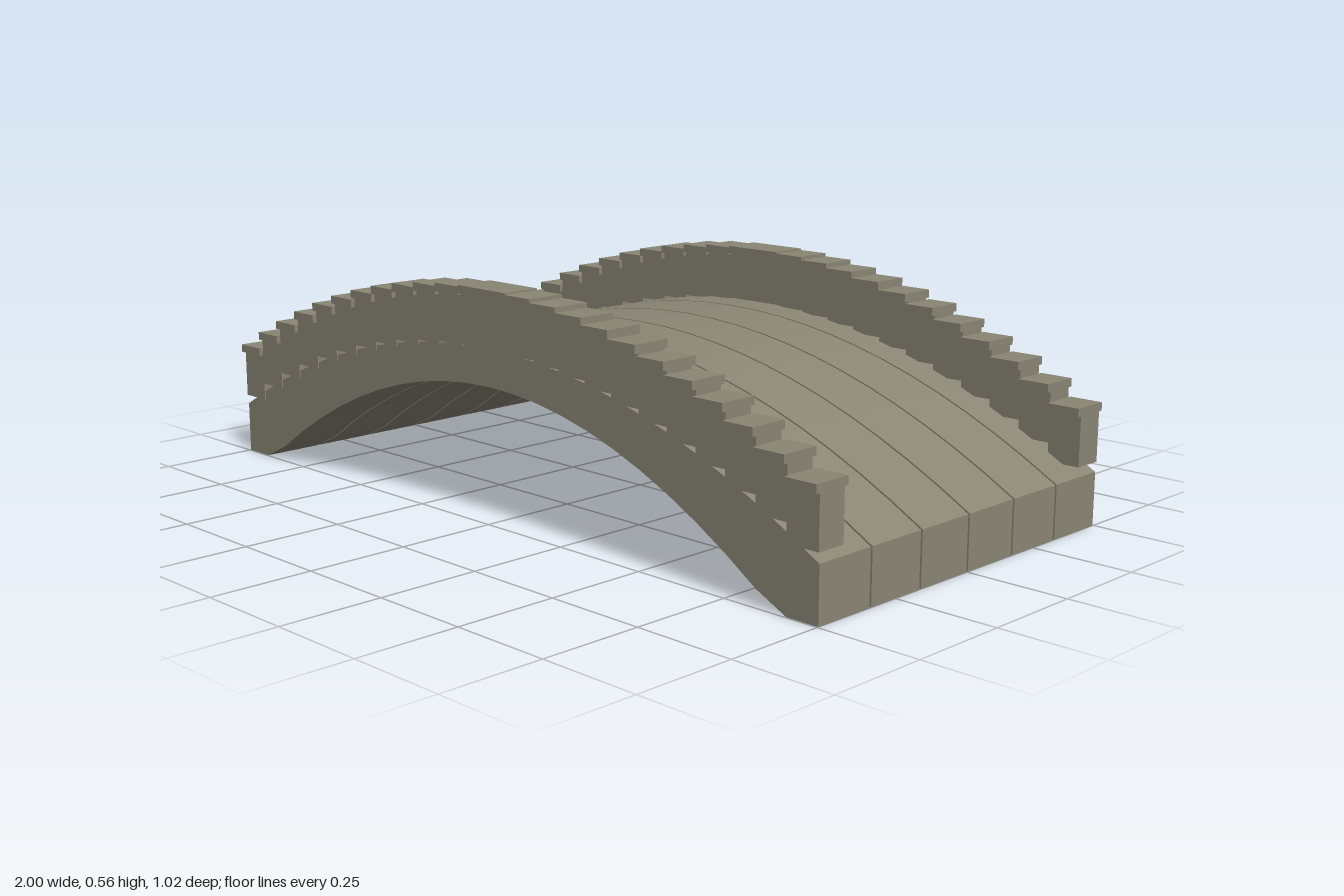
import * as THREE from 'three';

const SEGMENTS = 24, ROWS = 6;
const STEP = 2 / SEGMENTS, ROW_WIDTH = 1 / ROWS, GAP = 0.006;

// Arch curves: walking surface and underside
const deckY = (x) => 0.13 + 0.29 * (1 - x * x);
const underY = (x) => Math.max(0, 0.33 - 0.417 * x * x);

export function createModel() {
  const bridge = new THREE.Group();
  bridge.name = 'archBridge';
  const stone = new THREE.MeshStandardMaterial({ color: 0x8a8675 });
  stone.name = 'stone';

  const deck = new THREE.Group();
  deck.name = 'deck';
  const parapets = { 1: new THREE.Group(), '-1': new THREE.Group() };
  parapets[1].name = 'frontParapet';
  parapets[-1].name = 'backParapet';
  bridge.add(deck, parapets[1], parapets[-1]);

  const blockWidth = ROW_WIDTH - GAP;
  const postGeometry = new THREE.BoxGeometry(STEP, 0.12, 0.076);
  const capGeometry = new THREE.BoxGeometry(STEP, 0.02, 0.098);

  const add = (parent, geometry, name, x, y, z) => {
    const mesh = new THREE.Mesh(geometry, stone);
    mesh.name = name;
    mesh.position.set(x, y, z);
    parent.add(mesh);
  };

  for (let i = 0; i < SEGMENTS; i++) {
    const x0 = -1 + i * STEP, x1 = x0 + STEP;

    // Wedge-shaped arch stones, repeated across the width
    const section = new THREE.Shape([
      new THREE.Vector2(x0, underY(x0)),
      new THREE.Vector2(x1, underY(x1)),
      new THREE.Vector2(x1, deckY(x1)),
      new THREE.Vector2(x0, deckY(x0)),
    ]);
    const wedge = new THREE.ExtrudeGeometry(section, { depth: blockWidth, bevelEnabled: false });
    for (let r = 0; r < ROWS; r++) {
      add(deck, wedge, 'archStone', 0, 0, -0.5 + r * ROW_WIDTH + GAP / 2);
    }

    // Stepped parapet posts with overhanging caps on both sides
    const x = (x0 + x1) / 2, base = deckY(x);
    for (const side of [1, -1]) {
      add(parapets[side], postGeometry, 'parapetPost', x, base + 0.06, side * 0.462);
      add(parapets[side], capGeometry, 'parapetCap', x, base + 0.13, side * 0.462);
    }
  }
  return bridge;
}
